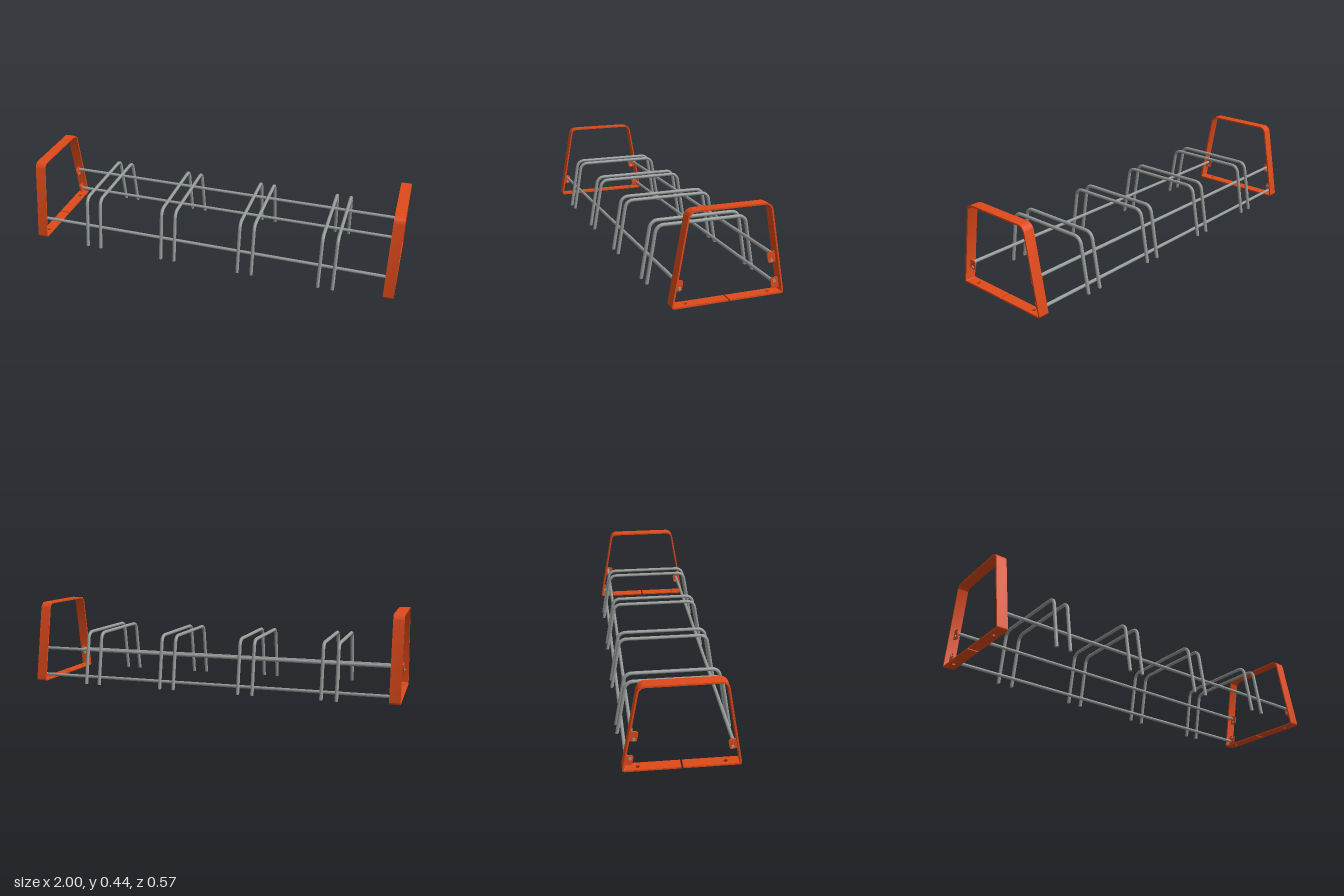
import * as THREE from 'three';
import { toCreasedNormals } from 'three/addons/utils/BufferGeometryUtils.js';

const orange = new THREE.MeshStandardMaterial({ color: 0xe04a1a });
const steel = new THREE.MeshStandardMaterial({ color: 0x959b99 });

const SLOPE = 0.177;      // inward lean of the frame sides
const FRAME_W = 0.055;    // strip width along x
const STRIP = 0.008;      // strip thickness
const FRAME_X = 1 - FRAME_W / 2;

function add(parent, name, geometry, material) {
  const mesh = new THREE.Mesh(geometry, material);
  mesh.name = name;
  parent.add(mesh);
  return mesh;
}

// Open polyline with rounded corners; cuts[i] is the tangent length at corner i
function roundedPath(pts, cuts) {
  const v = pts.map(p => new THREE.Vector2(...p));
  const path = new THREE.Path().moveTo(v[0].x, v[0].y);
  for (let i = 1; i < v.length - 1; i++) {
    const c = v[i], cut = cuts[i - 1];
    const toward = (q, d) => c.clone().add(q.clone().sub(c).setLength(d));
    const a = toward(v[i - 1], cut), b = toward(v[i + 1], cut);
    const ha = toward(v[i - 1], cut * 0.43), hb = toward(v[i + 1], cut * 0.43);
    path.lineTo(a.x, a.y);
    path.bezierCurveTo(ha.x, ha.y, hb.x, hb.y, b.x, b.y);
  }
  const end = v[v.length - 1];
  path.lineTo(end.x, end.y);
  return path;
}

// Extrude a (z, y) shape along x, centred on x = 0
function extrudeX(shape, depth) {
  const g = new THREE.ExtrudeGeometry(shape, { depth, bevelEnabled: false, curveSegments: 20 });
  g.translate(0, 0, -depth / 2).rotateY(-Math.PI / 2);
  return toCreasedNormals(g, 0.6);
}

// Bent flat strip: closed trapezoid except for the bottom plates
function stripGeometry() {
  const outline = (t, top, bottom) => {
    const z = y => 0.273 - t * 1.016 - SLOPE * y;
    const lo = t, hi = 0.435 - t;
    return roundedPath(
      [[0.24, lo], [z(lo), lo], [z(hi), hi], [-z(hi), hi], [-z(lo), lo], [-0.24, lo]],
      [bottom, top, top, bottom]).getPoints(10);
  };
  const outer = outline(0, 0.033, 0.014), inner = outline(STRIP, 0.026, 0.005);
  return extrudeX(new THREE.Shape([...outer, ...inner.reverse()]), FRAME_W);
}

// Bottom plate with a bolt hole, lying flat on the ground
function footGeometry(side) {
  const w = FRAME_W / 2, a = 0.004, b = 0.24;
  const s = new THREE.Shape([[-w, a], [w, a], [w, b], [-w, b]].map(p => new THREE.Vector2(p[0], p[1] * side)));
  s.holes.push(new THREE.Path().absarc(0, 0.2 * side, 0.01, 0, Math.PI * 2));
  const g = new THREE.ExtrudeGeometry(s, { depth: STRIP, bevelEnabled: false });
  return g.rotateX(-Math.PI / 2);
}

// Mounting tab with rounded corners on its free edge
function tabGeometry() {
  const w = 0.021, h = 0.025;
  const path = roundedPath([[w, -h], [w, h], [-w, h], [-w, -h], [w, -h]], [0.002, 0.01, 0.01]);
  return extrudeX(new THREE.Shape(path.getPoints(8)), 0.008);
}

function rodX(radius, length) {
  return new THREE.CylinderGeometry(radius, radius, length, 16).rotateZ(Math.PI / 2);
}

// Bent wheel hoop with its feet cut level with the ground
function hoopGeometry() {
  const foot = 0.274, top = 0.281, z = 0.227;
  const path = roundedPath([[foot, 0], [z, top], [-z, top], [-foot, 0]], [0.035, 0.035]);
  const curve = new THREE.CatmullRomCurve3(
    path.getSpacedPoints(90).map(p => new THREE.Vector3(0, p.y, p.x)));
  const g = new THREE.TubeGeometry(curve, 110, 0.009, 14);
  const pos = g.attributes.position;
  const ring = 15;
  for (let i = 0; i < pos.count; i++) {
    if (i < ring || i >= pos.count - ring) pos.setY(i, 0);
  }
  return g;
}

export function createModel() {
  const model = new THREE.Group();
  model.name = 'bicycleRack';

  // Rails: height, depth, and the tab and bolt that hold each one
  const rails = [
    { y: 0.182, z: -0.225, tab: [0.17, -0.218], bolt: [0.157, -0.215] },
    { y: 0.037, z: -0.250, tab: [0.045, -0.241], bolt: [0.056, -0.233] },
    { y: 0.108, z: 0.232, tab: [0.097, 0.234], bolt: [0.085, 0.229] },
  ];
  for (const r of rails) {
    add(model, 'rail', rodX(0.0085, 2 * FRAME_X), steel).position.set(0, r.y, r.z);
  }

  // End frames
  const strip = stripGeometry(), tab = tabGeometry(), bolt = rodX(0.007, 0.02);
  for (const side of [1, -1]) {
    const frame = new THREE.Group();
    frame.name = side > 0 ? 'leftEndFrame' : 'rightEndFrame';
    frame.position.x = side * FRAME_X;
    add(frame, 'frameStrip', strip, orange);
    for (const s of [1, -1]) add(frame, 'footPlate', footGeometry(s), orange);
    for (const r of rails) {
      const t = add(frame, 'mountingTab', tab, orange);
      t.position.set(0, ...r.tab);
      // Free edge points inward and the tab follows the leaning side
      const lean = Math.atan(SLOPE);
      if (r.z > 0) t.rotation.x = -lean;
      else t.rotation.set(lean, Math.PI, 0);
      add(frame, 'bolt', bolt, steel).position.set(0, ...r.bolt);
    }
    model.add(frame);
  }

  // Four pairs of wheel hoops
  const hoop = hoopGeometry();
  const cap = new THREE.CircleGeometry(0.009, 14).rotateX(Math.PI / 2);
  for (let i = 0; i < 4; i++) {
    const pair = new THREE.Group();
    pair.name = 'wheelHoopPair';
    pair.position.x = (i - 1.5) * 0.434;
    for (const s of [1, -1]) {
      add(pair, 'hoop', hoop, steel).position.x = s * 0.0385;
      for (const e of [1, -1]) add(pair, 'hoopEnd', cap, steel).position.set(s * 0.0385, 0, e * 0.274);
    }
    model.add(pair);
  }
  return model;
}
